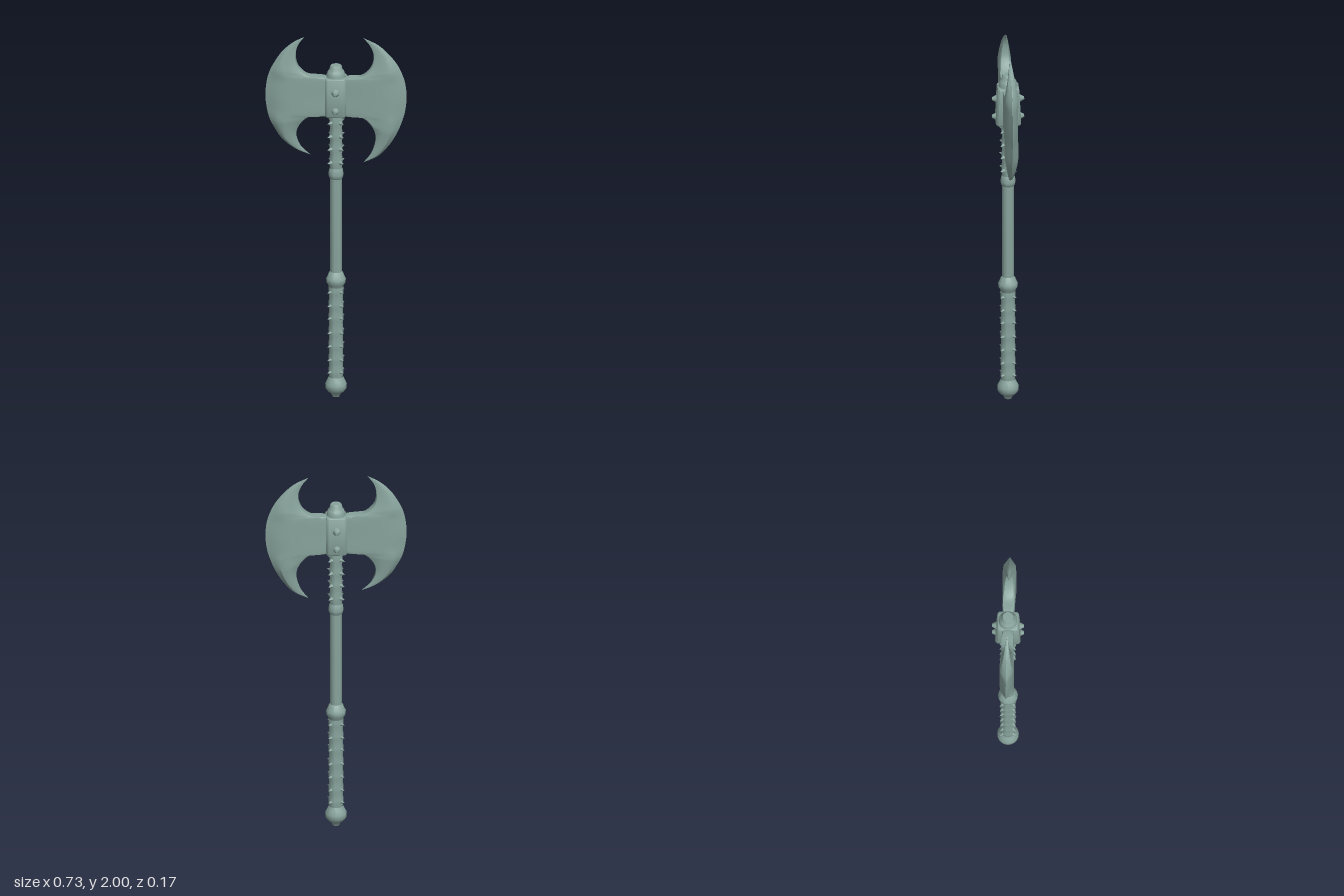
import * as THREE from 'three';
import { toCreasedNormals } from 'three/addons/utils/BufferGeometryUtils.js';
import { RoundedBoxGeometry } from 'three/addons/geometries/RoundedBoxGeometry.js';

const steel = new THREE.MeshStandardMaterial({ color: 0x88a39c });
steel.name = 'grey green steel';

const curve = (pts) => new THREE.CatmullRomCurve3(pts.map(([x, y]) => new THREE.Vector3(x, y, 0)));

// Half thickness across the blade, from inner edge (0) to cutting edge (1)
const PROFILE = [[0, 0.012], [0.03, 0.025], [0.1, 0.03], [0.4, 0.032], [0.6, 0.036], [0.78, 0.032], [0.9, 0.016], [1, 0.001]];

// Crescent blade lofted from closed rings between its inner and outer curves
function bladeGeometry(inner, outer, side) {
  const a = curve(inner), b = curve(outer), rows = 72;
  const low = inner[0][1], high = inner[inner.length - 1][1];
  const pos = [], idx = [], n = PROFILE.length * 2;
  for (let i = 0; i <= rows; i++) {
    const p = a.getPoint(i / rows), q = b.getPoint(i / rows);
    const mid = (p.y + q.y) / 2;
    const d = Math.max(0, Math.min(mid - low, high - mid));
    const taper = Math.min(1, Math.pow(d / 0.19, 0.75));
    const put = ([s, h], sign) => pos.push(side * (p.x + (q.x - p.x) * s), p.y + (q.y - p.y) * s, sign * h * taper);
    PROFILE.forEach((e) => put(e, 1));
    [...PROFILE].reverse().forEach((e) => put(e, -1));
  }
  for (let i = 0; i < rows; i++) {
    for (let j = 0; j < n; j++) {
      const k = (j + 1) % n;
      const A = i * n + j, B = i * n + k, C = A + n, D = B + n;
      if (side > 0) idx.push(A, B, D, A, D, C);
      else idx.push(A, D, B, A, C, D);
    }
  }
  const g = new THREE.BufferGeometry();
  g.setAttribute('position', new THREE.Float32BufferAttribute(pos, 3));
  g.setIndex(idx);
  return toCreasedNormals(g, 0.6);
}

export function createModel() {
  const model = new THREE.Group();
  model.name = 'doubleAxe';
  const add = (name, geometry, parent = model) => {
    const mesh = new THREE.Mesh(geometry, steel);
    mesh.name = name;
    parent.add(mesh);
    return mesh;
  };
  const lathe = (name, pts) =>
    add(name, toCreasedNormals(new THREE.LatheGeometry(pts.map(([r, y]) => new THREE.Vector2(r, y)), 28), 0.7));

  // Rows of spikes on the two grips
  const lowerRows = [0.145, 0.215, 0.29, 0.365, 0.445, 0.515, 0.59];
  const upperRows = [1.31, 1.385, 1.455, 1.53];

  // Wrapped grip that swells around each spike row
  const grip = (name, rows, y0, y1, r) => {
    const pts = [[r, y0]];
    rows.forEach((y) => pts.push([r, y - 0.032], [r + 0.004, y - 0.012], [r + 0.004, y + 0.012]));
    pts.push([r, y1]);
    lathe(name, pts);
  };

  // Handle
  lathe('pommel', [[0, 0], [0.018, 0.004], [0.026, 0.022], [0.042, 0.034], [0.055, 0.052], [0.056, 0.075], [0.046, 0.095], [0.037, 0.115]]);
  grip('lowerGrip', lowerRows, 0.1, 0.64, 0.035);
  lathe('lowerRing', [[0.036, 0.61], [0.042, 0.628], [0.05, 0.64], [0.051, 0.66], [0.044, 0.672], [0.038, 0.69], [0.029, 0.7]]);
  lathe('shaft', [[0.03, 0.66], [0.03, 1.25]]);
  lathe('upperRing', [[0.029, 1.215], [0.037, 1.225], [0.039, 1.24], [0.037, 1.262], [0.032, 1.275]]);
  grip('upperGrip', upperRows, 1.25, 1.6, 0.031);

  // Spikes on the four diagonals of the grips
  const spikes = new THREE.Group();
  spikes.name = 'gripSpikes';
  model.add(spikes);
  const spikeGeo = new THREE.ConeGeometry(0.013, 0.032, 8);
  spikeGeo.rotateX(Math.PI / 2);
  const spikeRing = (y, r) => {
    for (let k = 0; k < 4; k++) {
      const t = Math.PI / 4 + k * Math.PI / 2;
      const s = add('spike', spikeGeo, spikes);
      s.position.set(Math.sin(t) * r, y, Math.cos(t) * r);
      s.rotation.y = t;
    }
  };
  lowerRows.forEach((y) => spikeRing(y, 0.044));
  upperRows.forEach((y) => spikeRing(y, 0.045));

  // Axe head socket, narrowing towards its top and its front and back faces
  const hub = new RoundedBoxGeometry(0.108, 0.21, 0.132, 3, 0.012);
  const hp = hub.attributes.position;
  for (let i = 0; i < hp.count; i++) {
    if (Math.abs(hp.getZ(i)) > 0.056) hp.setX(i, hp.getX(i) * 0.94);
    if (hp.getY(i) > 0.09) hp.setZ(i, hp.getZ(i) * 0.86);
  }
  add('socket', toCreasedNormals(hub, 0.6)).position.y = 1.677;
  lathe('topCap', [[0.049, 1.75], [0.048, 1.795], [0.042, 1.812], [0.034, 1.82], [0.031, 1.838], [0.026, 1.845], [0, 1.846]]);

  // Blunt studs on the front and back of the socket
  const studGeo = new THREE.CylinderGeometry(0.008, 0.021, 0.024, 12);
  studGeo.rotateX(Math.PI / 2);
  for (const y of [1.61, 1.71]) {
    for (const side of [0, 1]) {
      const stud = add('socketStud', studGeo);
      stud.position.set(0, y, side ? -0.072 : 0.072);
      stud.rotation.y = side * Math.PI;
    }
  }

  // Blades, bottom tip to top tip; the right one is slightly shorter below
  const neck = [[0.035, 1.574], [0.035, 1.67], [0.035, 1.772]];
  add('leftBlade', bladeGeometry(
    [[0.143, 1.307], [0.185, 1.365], [0.206, 1.455], [0.182, 1.52], [0.127, 1.566], ...neck,
      [0.127, 1.785], [0.18, 1.835], [0.196, 1.905], [0.178, 1.955], [0.143, 1.998]],
    [[0.143, 1.307], [0.22, 1.345], [0.275, 1.405], [0.315, 1.47], [0.34, 1.53], [0.358, 1.59], [0.367, 1.67],
      [0.36, 1.75], [0.343, 1.805], [0.318, 1.855], [0.275, 1.91], [0.22, 1.96], [0.143, 1.998]], 1));
  add('rightBlade', bladeGeometry(
    [[0.132, 1.344], [0.182, 1.39], [0.206, 1.455], [0.19, 1.51], [0.138, 1.56], ...neck,
      [0.148, 1.79], [0.2, 1.845], [0.208, 1.91], [0.195, 1.955], [0.164, 1.998]],
    [[0.132, 1.344], [0.21, 1.375], [0.28, 1.43], [0.32, 1.49], [0.345, 1.54], [0.36, 1.6], [0.367, 1.67],
      [0.36, 1.75], [0.345, 1.805], [0.32, 1.855], [0.28, 1.915], [0.225, 1.965], [0.164, 1.998]], -1));

  return model;
}
